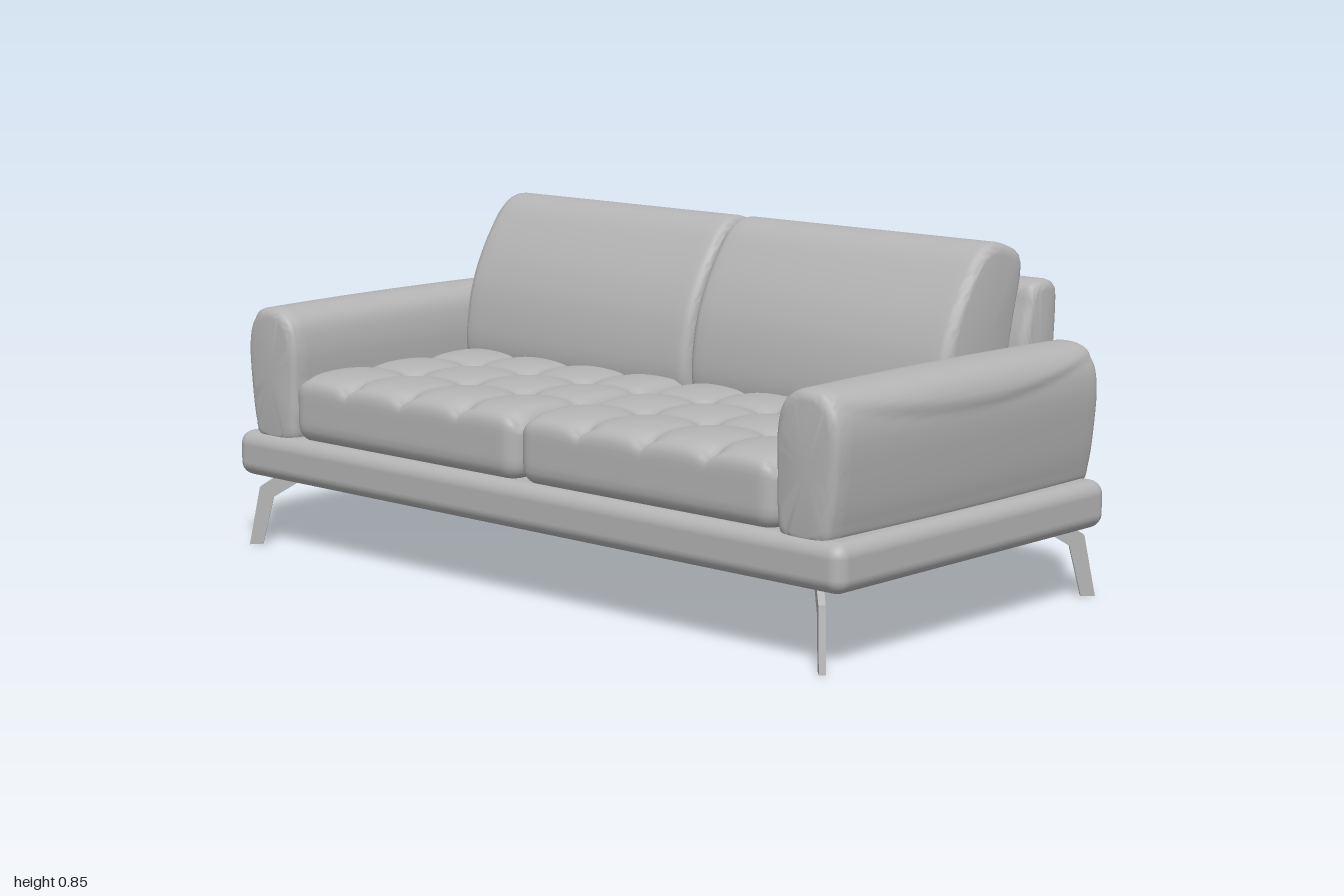
import * as THREE from 'three';
import { mergeVertices, toCreasedNormals } from 'three/addons/utils/BufferGeometryUtils.js';
import { RoundedBoxGeometry } from 'three/addons/geometries/RoundedBoxGeometry.js';

const upholstery = new THREE.MeshStandardMaterial({ color: 0xb4b4b4 });
upholstery.name = 'grey upholstery';

function add(group, name, geometry) {
  const mesh = new THREE.Mesh(geometry, upholstery);
  mesh.name = name;
  group.add(mesh);
  return mesh;
}

// Sweeps a smooth closed profile [u, v] from t0 to t1 with rounded ends.
// axis 'x': profile is [z, y]; axis 'z': profile is [x, y].
function sweep(profile, axis, t0, t1, r, deform = () => {}, steps = 24, n = 80) {
  const curve = new THREE.CatmullRomCurve3(
    profile.map(([u, v]) => new THREE.Vector3(u, v, 0)), true, 'centripetal');
  const ring = curve.getSpacedPoints(n).slice(0, n);
  const box = new THREE.Box3().setFromPoints(ring);
  const c = box.getCenter(new THREE.Vector3());
  const half = box.getSize(new THREE.Vector3()).multiplyScalar(0.5);

  // Stations along the axis: [position, inset]
  const stations = [];
  for (let i = 0; i <= 5; i++) {
    const a = (i / 5) * Math.PI / 2;
    stations.push([t0 + r * (1 - Math.sin(a)), r * (1 - Math.cos(a))]);
  }
  stations.forEach((s) => { s[1] = r - Math.sqrt(Math.max(0, r * r - (t0 + r - s[0]) ** 2)); });
  stations.sort((a, b) => a[0] - b[0]);
  const end = stations.map(([t, inset]) => [t0 + t1 - t, inset]).reverse();
  for (let i = 1; i < steps; i++) stations.push([t0 + r + (t1 - t0 - 2 * r) * i / steps, 0]);
  stations.push(...end);

  const pos = [], index = [];
  const push = (u, v, t) => {
    const p = axis === 'x' ? new THREE.Vector3(t, v, u) : new THREE.Vector3(u, v, t);
    deform(p);
    pos.push(p.x, p.y, p.z);
  };
  for (const [t, inset] of stations) {
    for (const q of ring) {
      push(c.x + (q.x - c.x) * (1 - inset / half.x), c.y + (q.y - c.y) * (1 - inset / half.y), t);
    }
  }
  push(c.x, c.y, t0);
  push(c.x, c.y, t1);
  const last = (stations.length - 1) * n, capA = stations.length * n;
  for (let j = 0; j < n; j++) {
    const k = (j + 1) % n;
    for (let a = 0; a < last; a += n) index.push(a + j, a + k, a + n + k, a + j, a + n + k, a + n + j);
    index.push(capA, k, j, capA + 1, last + j, last + k);
  }
  // Turn the faces outward
  let volume = 0;
  const [A, B, C] = [0, 0, 0].map(() => new THREE.Vector3());
  for (let i = 0; i < index.length; i += 3) {
    A.fromArray(pos, index[i] * 3);
    B.fromArray(pos, index[i + 1] * 3);
    C.fromArray(pos, index[i + 2] * 3);
    volume += A.dot(B.cross(C));
  }
  if (volume < 0) index.reverse();
  const g = new THREE.BufferGeometry();
  g.setAttribute('position', new THREE.Float32BufferAttribute(pos, 3));
  g.setIndex(index);
  return toCreasedNormals(g, 0.9);
}

// Tufted seat cushion: a rounded block with puffed squares on top
function seatGeometry(w, h, d, r) {
  let g = new THREE.BoxGeometry(w, h, d, 64, 10, 64);
  g.deleteAttribute('uv');
  g.deleteAttribute('normal');
  g = mergeVertices(g);
  const p = new THREE.Vector3(), inner = new THREE.Vector3();
  const lim = new THREE.Vector3(w / 2 - r, h / 2 - r, d / 2 - r);
  const low = lim.clone().negate();
  const cell = w / 4, row = 0.205, pa = g.attributes.position;
  for (let i = 0; i < pa.count; i++) {
    p.fromBufferAttribute(pa, i);
    inner.copy(p).clamp(low, lim);
    p.sub(inner).setLength(r).add(inner);
    const top = THREE.MathUtils.smoothstep(p.y, 0, h / 2);
    const sx = Math.abs(Math.sin(Math.PI * p.x / cell));
    const sz = Math.abs(Math.sin(Math.PI * (p.z - d / 2 + 0.03) / row));
    const dip = 0.014 * (1 - Math.sqrt(sx)) + 0.014 * (1 - Math.sqrt(sz))
      + 0.014 * Math.exp(-(sx * sx + sz * sz) * 8);
    p.y -= top * dip;
    pa.setXYZ(i, p.x, p.y, p.z);
  }
  g.computeVertexNormals();
  return g;
}

// Armrest with a padded top that overhangs the outer panel along a sagging seam
function armGeometry(side) {
  const profile = [
    [0.81, 0.28], [0.797, 0.33], [0.795, 0.42], [0.795, 0.52], [0.812, 0.58], [0.85, 0.608],
    [0.89, 0.613], [0.935, 0.603], [0.968, 0.57], [0.98, 0.52], [0.975, 0.42], [0.96, 0.32], [0.945, 0.28],
  ].map(([x, y]) => [x * side, y]);
  return sweep(profile, 'z', -0.482, 0.485, 0.025, (p) => {
    const k = Math.min(1, (p.z / 0.48) ** 2);
    const outer = THREE.MathUtils.smoothstep(Math.abs(p.x), 0.89, 0.95);
    const seam = 0.53 + 0.06 * k;
    const panel = 1 - THREE.MathUtils.smoothstep(p.y, seam - 0.01, seam + 0.01);
    p.x += side * outer * (0.01 * (1 - k) - 0.007 * panel);
    p.y += 0.005 * (1 - k) * THREE.MathUtils.smoothstep(p.y, 0.45, 0.6);
  }, 32);
}

export function createModel() {
  const sofa = new THREE.Group();
  sofa.name = 'sofa';

  // Base platform
  const base = add(sofa, 'base', new RoundedBoxGeometry(2, 0.115, 0.988, 5, 0.035));
  base.position.set(0, 0.2335, 0.01);

  // Back frame, reaching down behind the base
  add(sofa, 'backFrame', sweep([
    [-0.488, 0.178], [-0.489, 0.29], [-0.496, 0.5], [-0.509, 0.7], [-0.506, 0.735], [-0.48, 0.75],
    [-0.44, 0.748], [-0.41, 0.735], [-0.4, 0.7], [-0.375, 0.6], [-0.365, 0.3], [-0.37, 0.178],
  ], 'x', -0.83, 0.83, 0.025));

  // Bent plate leg, swung out diagonally at each corner
  const legShape = new THREE.Shape([
    [0, 0], [-0.02, 0.148], [-0.055, 0.18], [-0.118, 0.185], [-0.045, 0.123], [-0.024, 0],
  ].map(([s, y]) => new THREE.Vector2(s * Math.SQRT2, y)));
  const legGeometry = new THREE.ExtrudeGeometry(legShape, { depth: 0.016, bevelEnabled: false });
  legGeometry.translate(0, 0, -0.008);

  const backProfile = [
    [-0.14, 0.38], [-0.108, 0.45], [-0.118, 0.58], [-0.15, 0.675], [-0.205, 0.77], [-0.255, 0.83],
    [-0.3, 0.85], [-0.36, 0.84], [-0.407, 0.815], [-0.41, 0.78], [-0.385, 0.68], [-0.355, 0.55],
    [-0.33, 0.4], [-0.25, 0.37],
  ];

  for (const side of [1, -1]) {
    const word = side > 0 ? 'left' : 'right';
    add(sofa, word + 'Arm', armGeometry(side));

    const seat = add(sofa, word + 'SeatCushion', seatGeometry(0.795, 0.178, 0.785, 0.045));
    seat.position.set(side * 0.4, 0.373, 0.0975);

    // Back cushion, its front face gently bowed
    const [x0, x1] = side > 0 ? [0.003, 0.8] : [-0.8, -0.003];
    add(sofa, word + 'BackCushion', sweep(backProfile, 'x', x0, x1, 0.028, (p) => {
      const bow = Math.cos(Math.PI * (Math.abs(p.x) - 0.4) / 0.8);
      p.z += 0.012 * bow * THREE.MathUtils.smoothstep(p.z, -0.35, -0.12);
    }));

    for (const end of [1, -1]) {
      const leg = add(sofa, word + (end > 0 ? 'FrontLeg' : 'BackLeg'), legGeometry);
      leg.position.set(side * 0.955, 0, end * 0.503);
      leg.rotation.y = Math.atan2(-end, side);
    }
  }
  return sofa;
}
